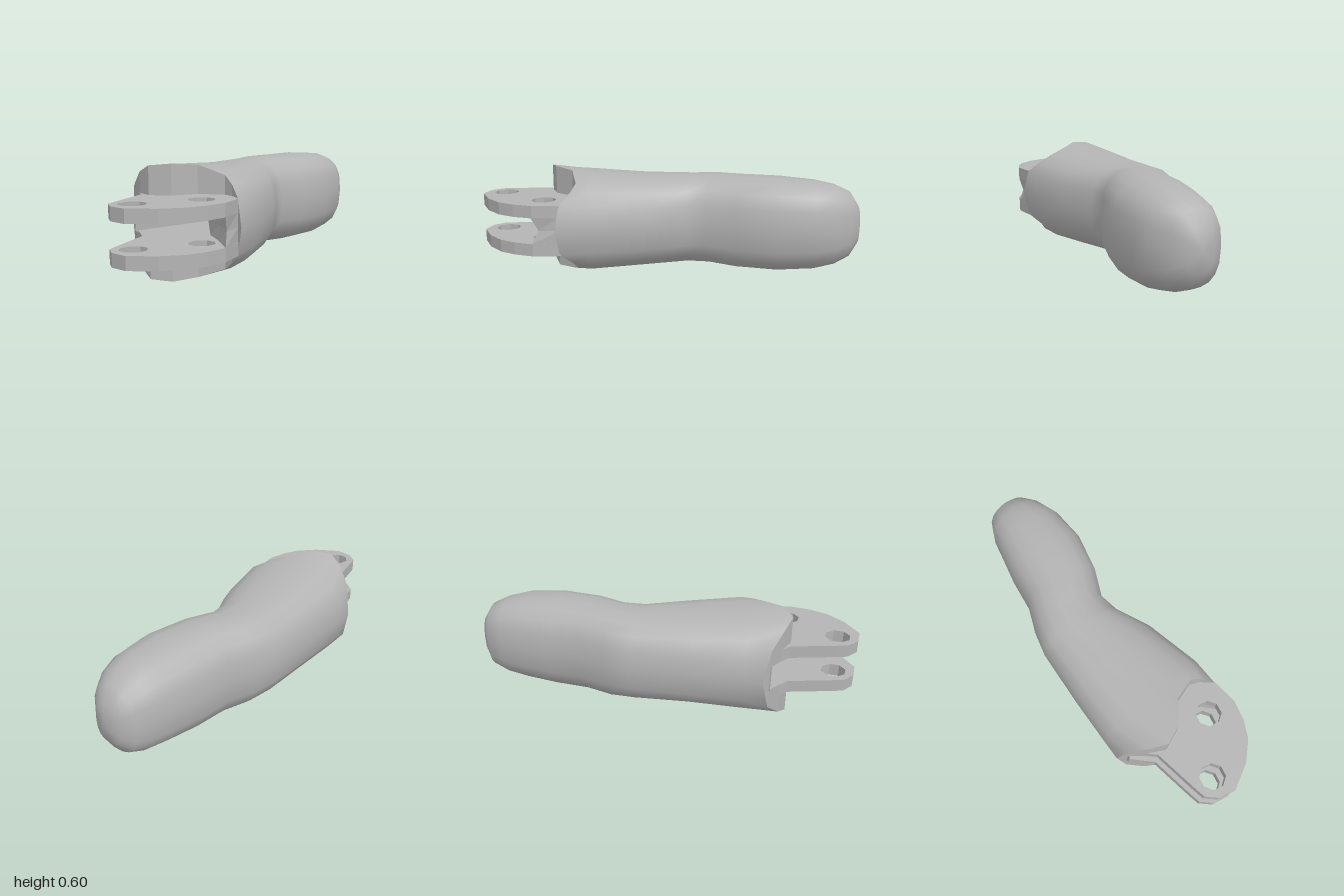
import * as THREE from 'three';

const MID = 0.305; // height of the horizontal symmetry plane
const GAP = 0.074; // half height of the slot between the two plates

// Columns of the scooped front end: x, z, half height
const END = [
  [-0.56, 0.37, 0], [-0.535, 0.42, 0.17], [-0.48, 0.51, 0.25], [-0.415, 0.585, 0.29], [-0.3, 0.585, 0.3],
  [-0.18, 0.515, 0.29], [-0.04, 0.525, 0.24], [0, 0.565, 0.2], [0.04, 0.64, 0.14], [0.06, 0.67, 0],
];

// Grip cross-sections: left x, left z, right x, right z, half height
const SECTIONS = [
  [-0.52, 0.28, 0.12, 0.5, 0.283], [-0.4, 0.02, 0.182, 0.17, 0.262], [-0.25, -0.28, 0.175, -0.04, 0.256],
  [-0.16, -0.4, 0.2, -0.15, 0.263], [-0.05, -0.51, 0.33, -0.27, 0.266], [0.05, -0.68, 0.47, -0.46, 0.265],
  [0.15, -0.82, 0.545, -0.66, 0.25], [0.22, -0.92, 0.555, -0.78, 0.225], [0.29, -0.985, 0.535, -0.88, 0.185],
  [0.36, -1, 0.5, -0.95, 0.11],
];

function geometryFrom(points, index) {
  const g = new THREE.BufferGeometry();
  g.setAttribute('position', new THREE.Float32BufferAttribute(points.flat(), 3));
  if (index) g.setIndex(index);
  g.computeVertexNormals();
  return g;
}

// Two triangles from four corners, counter-clockwise
const quad = (a, b, c, d) => [a, b, c, a, c, d];

// Closed ring from columns [x, z, h]: over the top, then back underneath
function ring(cols) {
  const top = cols.map(([x, z, h]) => [x, MID + h, z]);
  const bottom = cols.slice(1, -1).reverse().map(([x, z, h]) => [x, MID - h, z]);
  return [...top, ...bottom];
}

function sectionColumns([lx, lz, rx, rz, h]) {
  return END.map((_, i) => {
    const a = Math.PI * (1 - i / (END.length - 1));
    const t = 0.5 + 0.5 * Math.sign(Math.cos(a)) * Math.abs(Math.cos(a)) ** 0.85;
    const s = i === 0 || i === END.length - 1 ? 0 : Math.sin(a) ** 0.75;
    return [lx + (rx - lx) * t, lz + (rz - lz) * t, h * s];
  });
}

// Smooth bent grip lofted through the sections, closed at the far tip
function gripGeometry() {
  const rings = [END, ...SECTIONS.map(sectionColumns)].map(ring);
  const n = rings[0].length;
  const points = rings.flat();
  const index = [];
  for (let k = 0; k < rings.length - 1; k++) {
    for (let j = 0; j < n; j++) {
      const a = k * n + j, b = k * n + (j + 1) % n;
      index.push(a, b, a + n, b, b + n, a + n);
    }
  }
  const tip = points.length, last = tip - n;
  points.push([0.435, MID, -0.995]);
  for (let j = 0; j < n; j++) index.push(last + j, last + (j + 1) % n, tip);
  return geometryFrom(points, index);
}

// Scooped end face, open in the middle for the slot
function endFaceGeometry() {
  const p = [];
  const at = ([x, z], dy) => [x, MID + dy, z];
  for (let i = 0; i < END.length - 1; i++) {
    const a = END[i], b = END[i + 1];
    if (i === 0 || i === END.length - 2) {
      p.push(...quad(at(a, -a[2]), at(b, -b[2]), at(b, b[2]), at(a, a[2])));
    } else {
      p.push(...quad(at(a, GAP), at(b, GAP), at(b, b[2]), at(a, a[2])));
      p.push(...quad(at(a, -a[2]), at(b, -b[2]), at(b, -GAP), at(a, -GAP)));
    }
  }
  return geometryFrom(p);
}

// Walls of the slot and the web on its right, with a notched front edge
function slotGeometry() {
  const path = [ // x, z, z on the middle line
    [-0.53, 0.43, 0.43], [-0.2, 0.1, 0.1], [-0.12, 0.5, 0.5], [-0.06, 0.62, 0.6],
    [0, 0.785, 0.745], [0.04, 0.64, 0.64],
  ];
  const p = [];
  for (let i = 0; i < path.length - 1; i++) {
    const [ax, az, am] = path[i], [bx, bz, bm] = path[i + 1];
    p.push(...quad([ax, MID - GAP, az], [bx, MID - GAP, bz], [bx, MID, bm], [ax, MID, am]));
    p.push(...quad([ax, MID, am], [bx, MID, bm], [bx, MID + GAP, bz], [ax, MID + GAP, az]));
  }
  return geometryFrom(p);
}

// Hinge plate with two pin holes, its root running into the grip
function plateGeometry() {
  const outline = [
    [-0.46, 0.56], [-0.52, 0.81], [-0.532, 0.87], [-0.5, 0.94], [-0.42, 0.993], [-0.27, 0.98], [-0.15, 0.935],
    [-0.07, 0.87], [0, 0.78], [0.043, 0.64], [0.02, 0.5], [-0.1, 0.48], [-0.2, 0.08], [-0.52, 0.42],
  ].map(([x, z]) => new THREE.Vector2(x, z));
  const shape = new THREE.Shape(outline);
  for (const [cx, cz] of [[-0.42, 0.86], [-0.13, 0.69]]) {
    const hole = [];
    for (let i = 0; i < 8; i++) {
      const a = (i / 8) * Math.PI * 2 + 0.2;
      hole.push(new THREE.Vector2(cx + 0.07 * Math.cos(a), cz + 0.07 * Math.sin(a)));
    }
    shape.holes.push(new THREE.Path(hole));
  }
  return new THREE.ExtrudeGeometry(shape, { depth: 0.069, bevelEnabled: false }).rotateX(Math.PI / 2);
}

export function createModel() {
  const group = new THREE.Group();
  group.name = 'hingedGrip';
  const grey = new THREE.MeshStandardMaterial({ color: 0xb4b4b4, side: THREE.DoubleSide });
  grey.name = 'grey';

  const add = (name, geometry, y = 0) => {
    const mesh = new THREE.Mesh(geometry, grey);
    mesh.name = name;
    mesh.position.y = y;
    group.add(mesh);
  };
  add('grip', gripGeometry());
  add('gripEndFace', endFaceGeometry());
  add('slotWalls', slotGeometry());
  add('upperHingePlate', plateGeometry(), MID + GAP + 0.067);
  add('lowerHingePlate', plateGeometry(), MID - GAP + 0.001);
  return group;
}
